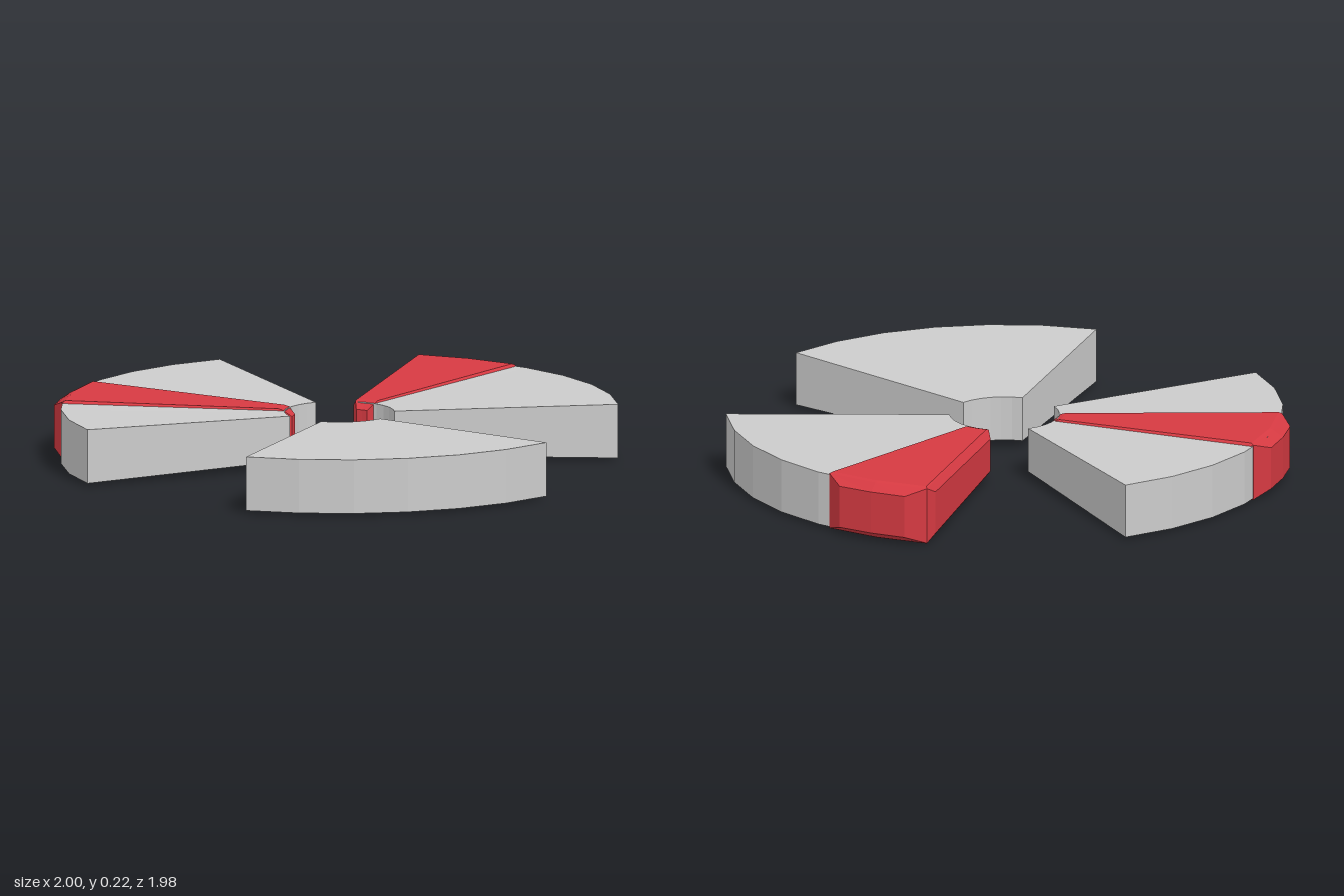
import * as THREE from 'three';

const MID_Y = 0.1075, CENTRE_Z = 0.01, STEP = 11.25;

// Polar point around the hub; shift moves it along the direction of growing angle.
function polar(deg, r, h, shift = 0) {
  const a = THREE.MathUtils.degToRad(deg), c = Math.cos(a), s = Math.sin(a);
  return [r * c - shift * s, MID_Y + h, CENTRE_Z - r * s - shift * c];
}

// Collects quads into one flat-shaded mesh.
function makeMesh(name, color, quads) {
  const pos = [];
  for (const [a, b, c, d] of quads) pos.push(...a, ...b, ...c, ...a, ...c, ...d);
  const geo = new THREE.BufferGeometry();
  geo.setAttribute('position', new THREE.Float32BufferAttribute(pos, 3));
  geo.computeVertexNormals();
  const mesh = new THREE.Mesh(geo, new THREE.MeshStandardMaterial({ color, flatShading: true }));
  mesh.name = name;
  return mesh;
}

// Face between an upper row A and lower row B, left to right from outside.
// With a second pair of rows it becomes a raised panel with sloping borders.
function panel(quads, A, B, capA, capB) {
  const n = A.length - 1, P = capA || A, Q = capB || B;
  for (let i = 0; i < n; i++) {
    quads.push([P[i], Q[i], Q[i + 1], P[i + 1]]);
    if (capA) {
      quads.push([A[i], P[i], P[i + 1], A[i + 1]]);
      quads.push([Q[i], B[i], B[i + 1], Q[i + 1]]);
    }
  }
  if (capA) {
    quads.push([A[0], B[0], Q[0], P[0]]);
    quads.push([P[n], Q[n], B[n], A[n]]);
  }
}

// Plain ring sector, thinner toward the hub.
function sector(name, start, segments) {
  const quads = [], R0 = 0.197, R1 = 1, H0 = 0.081, H1 = 0.098;
  const angles = Array.from({ length: segments + 1 }, (_, i) => start + i * STEP);
  const back = [...angles].reverse();
  const arc = (list, r, h) => list.map(a => polar(a, r, h));
  panel(quads, arc(angles, R1, H1), arc(angles, R1, -H1));
  panel(quads, arc(back, R0, H0), arc(back, R0, -H0));
  panel(quads, arc(back, R1, H1), arc(back, R0, H0));
  panel(quads, arc(angles, R1, -H1), arc(angles, R0, -H0));
  const first = angles[0], last = back[0];
  const radial = (a, s) => [polar(a, R0, s * H0), polar(a, R1, s * H1)];
  panel(quads, radial(first, 1), radial(first, -1));
  panel(quads, radial(last, 1).reverse(), radial(last, -1).reverse());
  return makeMesh(name, 0xcccccc, quads);
}

// Narrow red wedge whose six sides are all raised panels.
function redWedge(name, centre) {
  const quads = [], half = 11.4, R0 = 0.203, R1 = 0.997, H0 = 0.083, H1 = 0.1025;
  const arc = (dir, spread, r, h) =>
    [-1, 0, 1].map(t => polar(centre + dir * t * half * spread, r, h));
  // outer rim and hub end
  panel(quads, arc(1, 1, R1, H1), arc(1, 1, R1, -H1),
    arc(1, 0.64, 1.034, 0.077), arc(1, 0.64, 1.034, -0.077));
  panel(quads, arc(-1, 1, R0, H0), arc(-1, 1, R0, -H0),
    arc(-1, 0.64, 0.172, 0.058), arc(-1, 0.64, 0.172, -0.058));
  // top and bottom
  for (const s of [1, -1])
    panel(quads, arc(-s, 1, R1, s * H1), arc(-s, 1, R0, s * H0),
      arc(-s, 0.97, 0.985, s * 0.1075), arc(-s, 0.92, 0.22, s * 0.088));
  // flanks
  for (const s of [1, -1]) {
    const a = centre + s * half;
    const row = (v, r0, r1, h0, h1, shift) => {
      const pts = [polar(a, r0, v * h0, shift), polar(a, r1, v * h1, shift)];
      return s > 0 ? pts.reverse() : pts;
    };
    panel(quads, row(1, R0, R1, H0, H1, 0), row(-1, R0, R1, H0, H1, 0),
      row(1, 0.24, 0.95, 0.06, 0.078, s * 0.018), row(-1, 0.24, 0.95, 0.06, 0.078, s * 0.018));
  }
  return makeMesh(name, 0xd63a42, quads);
}

export function createModel() {
  const group = new THREE.Group();
  group.name = 'splitDisc';
  group.add(
    sector('leftSector', -5 * STEP, 6),
    sector('backSector', 5 * STEP, 6),
    sector('rightSector', 15 * STEP, 8),
    redWedge('backRedWedge', 115.5),
    redWedge('rightRedWedge', 218)
  );
  return group;
}
